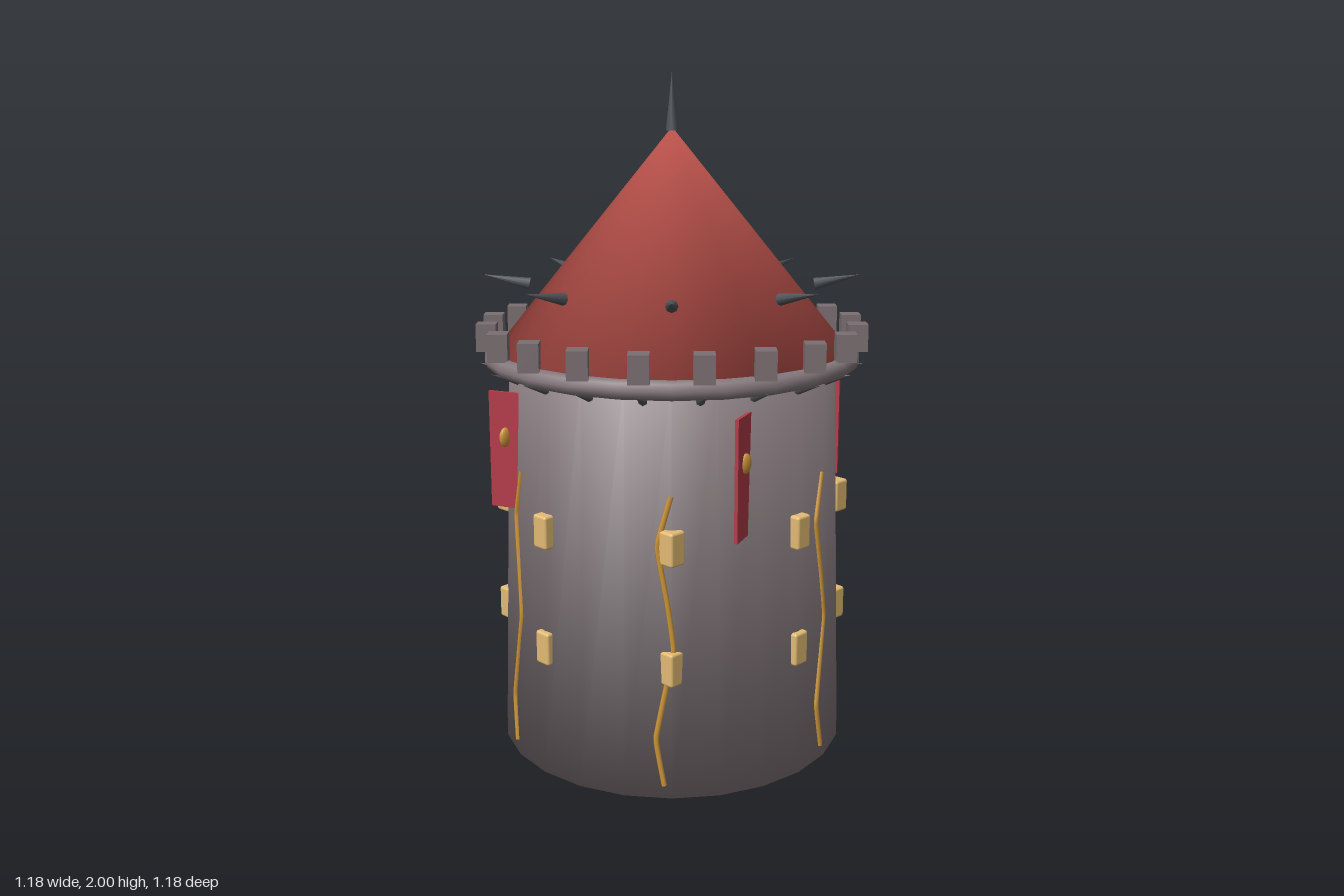
import * as THREE from 'three';
import { mergeVertices } from 'three/addons/utils/BufferGeometryUtils.js';
import { RoundedBoxGeometry } from 'three/addons/geometries/RoundedBoxGeometry.js';

const mat = (color, options = {}) => new THREE.MeshStandardMaterial({ color, ...options });
const stone = mat(0x85797c);
const merlonStone = mat(0x7a6e71, { flatShading: true });
const roofRed = mat(0xc4564f);
const iron = mat(0x4e5256);
const clothRed = mat(0xb43c4a);
const gold = mat(0xcf973a);
const glow = mat(0xe3bb74);

// Wall radius at height y
const wallRadius = (y) => 0.525 - 0.038 * (y / 1.2);

// Point on a circle; azimuth 0 is the front, growing towards +x
const around = (azimuth, r, y) => new THREE.Vector3(r * Math.sin(azimuth), y, r * Math.cos(azimuth));

// Weld a geometry and give it angle-weighted smooth normals across every edge
function soften(source) {
  source.deleteAttribute('uv');
  source.deleteAttribute('normal');
  const geometry = mergeVertices(source, 1e-4);
  const pos = geometry.attributes.position;
  const index = geometry.index;
  const sums = Array.from({ length: pos.count }, () => new THREE.Vector3());
  for (let f = 0; f < index.count; f += 3) {
    const ids = [0, 1, 2].map((k) => index.getX(f + k));
    const p = ids.map((id) => new THREE.Vector3().fromBufferAttribute(pos, id));
    const normal = new THREE.Triangle(...p).getNormal(new THREE.Vector3());
    ids.forEach((id, k) => {
      const a = p[(k + 1) % 3].clone().sub(p[k]);
      const b = p[(k + 2) % 3].clone().sub(p[k]);
      sums[id].addScaledVector(normal, a.angleTo(b));
    });
  }
  const normals = new Float32Array(pos.count * 3);
  sums.forEach((n, i) => n.normalize().toArray(normals, i * 3));
  geometry.setAttribute('normal', new THREE.BufferAttribute(normals, 3));
  return geometry;
}

// Cone lying along a radius, from (r0, y0) to its tip at (r1, y1)
function radialSpike(r0, y0, r1, y1, radius, sides) {
  const length = Math.hypot(r1 - r0, y1 - y0);
  const tilt = Math.atan2(y1 - y0, r1 - r0);
  return new THREE.ConeGeometry(radius, length, sides)
    .rotateX(Math.PI / 2 - tilt)
    .translate(0, (y0 + y1) / 2, (r0 + r1) / 2);
}

export function createModel() {
  const model = new THREE.Group();
  model.name = 'tower';

  const add = (name, geometry, material, parent = model) => {
    const mesh = new THREE.Mesh(geometry, material);
    mesh.name = name;
    parent.add(mesh);
    return mesh;
  };

  // Call build(azimuth, group) for evenly spaced azimuths
  const ring = (name, count, start, build) => {
    const group = new THREE.Group();
    group.name = name;
    for (let i = 0; i < count; i++) build(start + (i / count) * Math.PI * 2, group);
    model.add(group);
  };

  // Tapered wall and conical roof
  add('wall', soften(new THREE.CylinderGeometry(wallRadius(1.2), wallRadius(0), 1.2, 24).translate(0, 0.6, 0)), stone);
  add('roof', soften(new THREE.ConeGeometry(0.52, 0.64, 24).translate(0, 1.52, 0)), roofRed);
  add('finial', new THREE.ConeGeometry(0.018, 0.17, 8).translate(0, 1.915, 0), iron);

  // Rounded rim under the battlements
  add('rim', new THREE.TorusGeometry(0.532, 0.028, 8, 24).rotateX(Math.PI / 2).translate(0, 1.18, 0), stone);

  // Battlements: four-sided blocks with a corner to the front
  const merlon = new THREE.CylinderGeometry(0.041, 0.041, 0.08, 4);
  ring('battlements', 20, 0, (a, group) => {
    add('merlon', merlon, merlonStone, group).position.copy(around(a, 0.547, 1.242));
  });

  // Small studs below the rim and large spikes around the roof
  const stud = radialSpike(0.488, 1.14, 0.57, 1.165, 0.013, 6);
  ring('rimStuds', 20, 0, (a, group) => {
    add('rimStud', stud, iron, group).rotation.y = a;
  });
  const spike = radialSpike(0.42, 1.385, 0.558, 1.413, 0.018, 8);
  ring('roofSpikes', 8, 0, (a, group) => {
    add('roofSpike', spike, iron, group).rotation.y = a;
  });

  // Two rows of lit windows
  const windowBlock = new RoundedBoxGeometry(0.054, 0.098, 0.054, 2, 0.008);
  for (const [name, y] of [['lowerWindows', 0.388], ['upperWindows', 0.737]]) {
    ring(name, 8, 0, (a, group) => {
      add('window', windowBlock, glow, group).position.copy(around(a, 0.5, y));
    });
  }

  // Banners standing out from the wall like fins, each with a gold boss
  const cloth = new THREE.BoxGeometry(0.12, 0.345, 0.01);
  const boss = new THREE.SphereGeometry(1, 16, 10).scale(0.021, 0.029, 0.011);
  ring('banners', 4, -Math.PI / 8, (a, group) => {
    const banner = add('banner', cloth, clothRed, group);
    banner.position.copy(around(a, 0.51, 0.928));
    banner.rotation.y = a + Math.PI / 4;
    add('bannerBoss', boss, gold, group).position.copy(around(a, 0.52, 0.968));
  });

  // Zigzag gold veins climbing the wall: height and sideways angle
  const veinPath = [[0.04, 0], [0.18, -0.045], [0.44, 0.05], [0.58, 0.015], [0.74, -0.04], [0.88, 0.035]];
  ring('veins', 6, 0.222, (a, group) => {
    const points = veinPath.map(([y, shift]) => around(a + shift, wallRadius(y) - 0.001, y));
    const curve = new THREE.CatmullRomCurve3(points, false, 'catmullrom', 0.1);
    add('vein', new THREE.TubeGeometry(curve, 40, 0.008, 6), gold, group);
  });

  return model;
}
